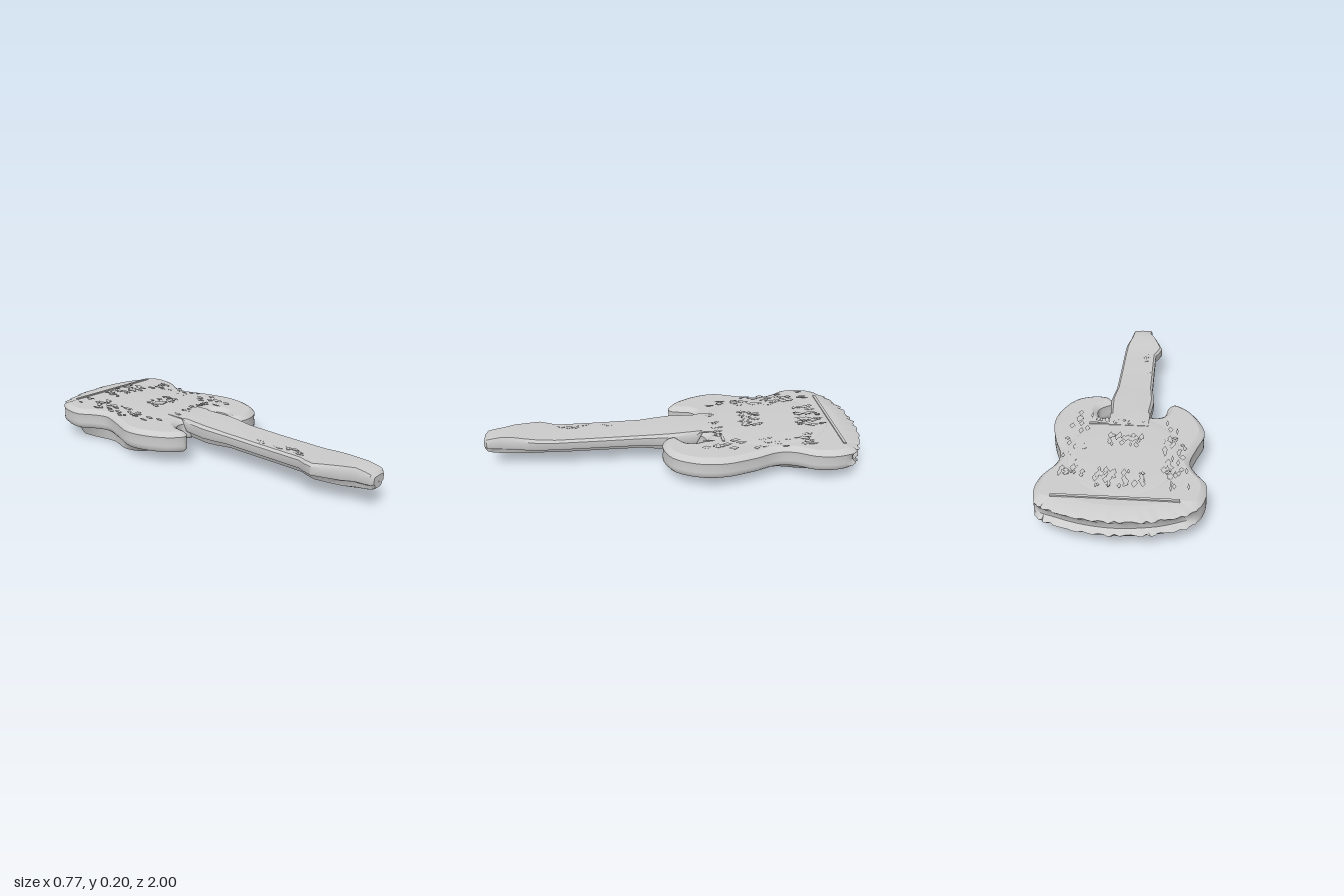
import * as THREE from 'three';
import { toCreasedNormals } from 'three/addons/utils/BufferGeometryUtils.js';

const material = new THREE.MeshStandardMaterial({ color: 0xcccccc, side: THREE.DoubleSide });

// Small seeded generator for the rough details
let seed = 7;
const random = () => (seed = (seed * 16807) % 2147483647) / 2147483647;

// Smooth closed curve through [x, z] points
function closedLoop(points, count) {
  const curve = new THREE.CatmullRomCurve3(points.map(([x, z]) => new THREE.Vector3(x, 0, z)), true, 'centripetal');
  return curve.getPoints(count).slice(0, count);
}

// Skin over a list of closed rings with equal point counts
function loft(rings, crease = 0.7) {
  const n = rings[0].length;
  const positions = rings.flat().flatMap((p) => [p.x, p.y, p.z]);
  const index = [];
  for (let r = 0; r < rings.length - 1; r++) {
    for (let i = 0; i < n; i++) {
      const a = r * n + i, b = r * n + (i + 1) % n;
      index.push(a, b, a + n, b, b + n, a + n);
    }
  }
  const geometry = new THREE.BufferGeometry();
  geometry.setAttribute('position', new THREE.Float32BufferAttribute(positions, 3));
  geometry.setIndex(index);
  geometry.computeVertexNormals();
  return toCreasedNormals(geometry, crease);
}

// Flat face in the xz plane, with an optional hole
function flatFace(loop, y, hole) {
  const flat = (p) => new THREE.Vector2(p.x, -p.z);
  const shape = new THREE.Shape(loop.map(flat));
  if (hole) shape.holes.push(new THREE.Path(hole.map(flat)));
  return new THREE.ShapeGeometry(shape).rotateX(-Math.PI / 2).translate(0, y, 0);
}

export function createModel() {
  const model = new THREE.Group();
  const add = (name, geometry, parent = model) => {
    const mesh = new THREE.Mesh(geometry, material);
    mesh.name = name;
    parent.add(mesh);
    return mesh;
  };

  // Body outline, clockwise from the tail as seen from above
  const outline = closedLoop([
    [0, -0.99], [0.14, -0.975], [0.27, -0.935], [0.34, -0.9], [0.375, -0.8], [0.365, -0.69],
    [0.312, -0.58], [0.305, -0.5], [0.35, -0.37], [0.385, -0.21], [0.37, -0.08], [0.3, 0.04],
    [0.19, 0.08], [0.125, 0.06], [0.105, 0.01], [0.14, -0.02], [0.17, -0.05], [0.175, -0.1],
    [0.145, -0.155], [0.1, -0.14], [0.07, -0.1], [0, -0.1], [-0.08, -0.1], [-0.11, -0.13],
    [-0.15, -0.13], [-0.18, -0.1], [-0.2, -0.01], [-0.23, 0.01], [-0.3, -0.04], [-0.365, -0.16],
    [-0.385, -0.27], [-0.345, -0.4], [-0.312, -0.53], [-0.34, -0.61], [-0.385, -0.69],
    [-0.38, -0.8], [-0.335, -0.89], [-0.23, -0.95], [-0.14, -0.975],
  ], 240);

  // Ragged tail edge
  const tail = (z) => THREE.MathUtils.smoothstep(-z, 0.84, 0.93);
  const rough = outline.map((p) => (random() - 0.6) * 0.022 * tail(p.z));

  // Outline moved inwards; the tail can be moved further in
  const bodyRing = (inset, y, hollow = 0, fringe = 0) => outline.map((p, i) => {
    const a = outline.at(i - 1), b = outline[(i + 1) % outline.length];
    const length = Math.hypot(b.x - a.x, b.z - a.z) || 1;
    const d = inset + hollow * tail(p.z) - fringe * rough[i];
    return new THREE.Vector3(p.x - d * (b.z - a.z) / length, y, p.z + d * (b.x - a.x) / length);
  });

  // Hollow body shell, its top sloping down to the tail
  const body = new THREE.Group();
  body.name = 'body';
  model.add(body);
  const topEdge = bodyRing(0.03, 0.177, 0.06);
  const bottomEdge = bodyRing(0.012, 0.07, 0.01);
  add('bodyWall', loft([
    topEdge, bodyRing(0.012, 0.168, 0.015, 0.5), bodyRing(0, 0.155, 0, 1), bodyRing(0.002, 0.13, 0.022),
    bodyRing(0, 0.105, 0.028), bodyRing(0, 0.085, 0, 1), bottomEdge,
  ]), body);
  add('bodyTop', flatFace(topEdge, 0.177), body);
  const crown = add('bodyCrown', new THREE.SphereGeometry(1, 40, 8, 0, Math.PI * 2, 0, Math.PI / 2), body);
  crown.scale.set(0.27, 0.009, 0.34);
  crown.position.set(0, 0.176, -0.5);

  // Open flaring base under the body
  const baseTop = closedLoop([
    [0, -0.93], [0.25, -0.89], [0.33, -0.8], [0.32, -0.68], [0.27, -0.52], [0.31, -0.35],
    [0.29, -0.2], [0.12, -0.18], [0, -0.15], [-0.12, -0.17], [-0.28, -0.19], [-0.33, -0.3],
    [-0.28, -0.52], [-0.33, -0.68], [-0.34, -0.8], [-0.25, -0.89],
  ], 128);
  const baseBottom = closedLoop([
    [0, -0.84], [0.15, -0.82], [0.23, -0.75], [0.22, -0.65], [0.19, -0.52], [0.22, -0.38],
    [0.2, -0.28], [0.1, -0.27], [0, -0.28], [-0.12, -0.27], [-0.25, -0.28], [-0.3, -0.38],
    [-0.27, -0.52], [-0.3, -0.68], [-0.3, -0.76], [-0.18, -0.83],
  ], 128);
  const baseRing = (t, y) => baseTop.map((p, i) => p.clone().lerp(baseBottom[i], t).setY(y));
  add('bodyUnderside', flatFace(bottomEdge, 0.07, baseTop), body);
  add('base', loft([baseRing(0, 0.07), baseRing(0.3, 0.052), baseRing(0.72, 0.025), baseRing(1, 0)]), body);

  // Neck and head, from cross-sections: z, centre x, half width, bottom, top
  const half = [[0, 0], [0.4, 0.02], [0.68, 0.1], [0.78, 0.33], [0.96, 0.4], [1, 0.5], [1, 0.85], [0.88, 0.98], [0, 1]];
  const profile = [...half, ...half.slice(1, -1).reverse().map(([u, v]) => [-u, v])];
  const neckRings = [
    [-0.25, 0, 0.01, 0.178, 0.18], [-0.25, 0, 0.1, 0.177, 0.184], [-0.14, 0, 0.103, 0.172, 0.188],
    [-0.11, 0, 0.105, 0.068, 0.188], [0.02, 0, 0.115, 0.065, 0.186], [0.09, 0, 0.11, 0.07, 0.182],
    [0.18, 0, 0.1, 0.08, 0.176], [0.4, 0, 0.098, 0.08, 0.174], [0.63, 0, 0.097, 0.08, 0.174],
    [0.67, -0.01, 0.106, 0.08, 0.176], [0.72, -0.018, 0.114, 0.079, 0.18],
    [0.78, -0.012, 0.1, 0.076, 0.186], [0.85, -0.008, 0.08, 0.074, 0.192],
    [0.91, 0.003, 0.062, 0.078, 0.192], [0.96, 0.003, 0.06, 0.086, 0.184],
    [0.985, 0.002, 0.058, 0.093, 0.178], [1, 0, 0.043, 0.105, 0.165], [1, 0, 0.001, 0.13, 0.135],
  ].map(([z, x, w, low, high]) => profile.map(([u, v]) => new THREE.Vector3(x + u * w, low + v * (high - low), z)));
  add('neckAndHead', loft(neckRings));

  // Low ridges across the top
  for (const [x, z, width] of [[0.01, -0.85, 0.56], [0.05, -0.235, 0.3]]) {
    add('ridge', new THREE.BoxGeometry(width, 0.01, 0.014)).position.set(x, 0.178, z);
  }

  // Thin raised flakes: centre x, z, half extents, height, count
  const flakes = new THREE.Group();
  flakes.name = 'surfaceFlakes';
  model.add(flakes);
  const flakeShape = new THREE.CylinderGeometry(1, 0.8, 0.003, 4);
  for (const [x, z, w, d, y, count] of [
    [0, -0.73, 0.11, 0.07, 0.197, 40], [0.01, -0.41, 0.09, 0.05, 0.197, 24],
    [-0.24, -0.45, 0.06, 0.24, 0.183, 36], [0.24, -0.4, 0.05, 0.28, 0.182, 26],
    [-0.25, -0.7, 0.06, 0.08, 0.192, 8], [0.23, -0.7, 0.06, 0.08, 0.184, 8],
    [0.04, -0.22, 0.14, 0.02, 0.188, 12], [-0.05, 0.4, 0.015, 0.3, 0.175, 12],
  ]) {
    for (let i = 0; i < count; i++) {
      const flake = add('flake', flakeShape, flakes);
      flake.position.set(x + (random() * 2 - 1) * w, y + (random() - 0.5) * 0.005, z + (random() * 2 - 1) * d);
      flake.scale.set(0.006 + random() * 0.01, 1, 0.012 + random() * 0.022);
    }
  }
  return model;
}
